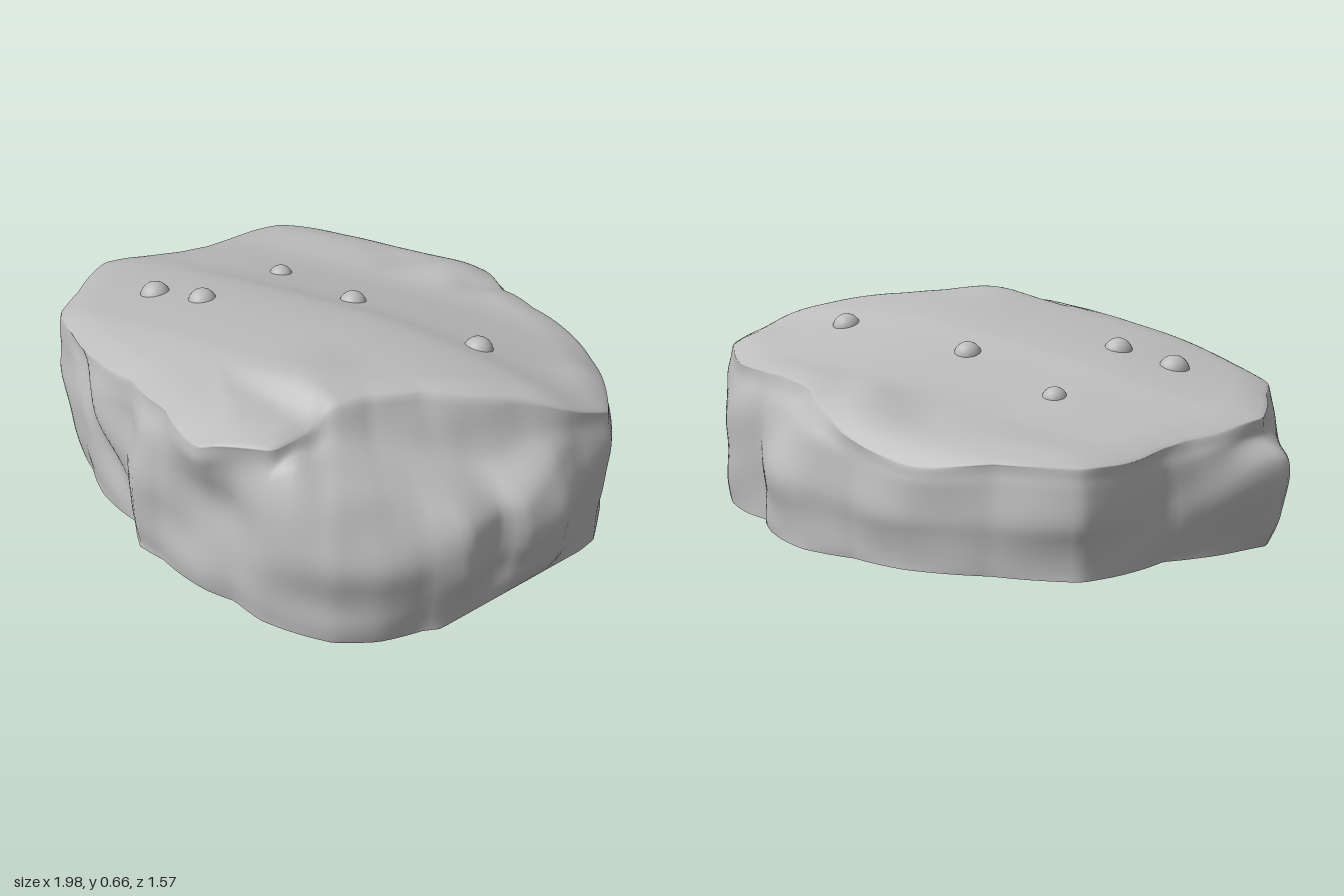
import * as THREE from 'three';

const { smoothstep, lerp, clamp } = THREE.MathUtils;
const COLS = 240;
const TAU = Math.PI * 2;

// Widest outline of the rock, as x, z pairs
const BELLY = [
  [-1, 0.06], [-0.95, -0.05], [-0.85, -0.2], [-0.78, -0.29], [-0.75, -0.5], [-0.7, -0.62],
  [-0.45, -0.71], [-0.2, -0.79], [0, -0.77], [0.2, -0.77], [0.42, -0.66], [0.55, -0.54],
  [0.65, -0.51], [0.8, -0.42], [0.93, -0.28], [0.98, -0.18], [0.97, -0.05], [1, 0.06],
  [0.96, 0.2], [0.9, 0.25], [0.9, 0.4], [0.82, 0.5], [0.75, 0.62], [0.65, 0.71], [0.42, 0.775],
  [0.3, 0.76], [0.2, 0.78], [0, 0.76], [-0.1, 0.76], [-0.2, 0.68], [-0.37, 0.65], [-0.5, 0.58],
  [-0.75, 0.44], [-0.8, 0.38], [-0.88, 0.25]
];
// Edge of the flat top
const RIM = [
  [-0.9, 0.06], [-0.86, -0.05], [-0.79, -0.2], [-0.76, -0.3], [-0.73, -0.5], [-0.68, -0.6],
  [-0.45, -0.69], [-0.2, -0.76], [0.05, -0.74], [0.2, -0.66], [0.3, -0.58], [0.45, -0.53],
  [0.7, -0.44], [0.85, -0.31], [0.96, -0.18], [0.9, -0.03], [0.8, 0.07], [0.6, 0.26],
  [0.5, 0.38], [0.43, 0.5], [0.41, 0.69], [0.2, 0.775], [0, 0.7], [-0.2, 0.63], [-0.4, 0.59],
  [-0.6, 0.5], [-0.74, 0.41], [-0.8, 0.28]
];

// Turns an outline into a function giving its radius at an angle
function radial(outline) {
  const pts = outline
    .map(([x, z]) => ({ a: (Math.atan2(z, x) + TAU) % TAU, r: Math.hypot(x, z) }))
    .sort((p, q) => p.a - q.a);
  const first = pts[0], last = pts[pts.length - 1];
  pts.unshift({ a: last.a - TAU, r: last.r });
  pts.push({ a: first.a + TAU, r: first.r });
  return (angle) => {
    let i = 1;
    while (pts[i].a < angle && i < pts.length - 1) i++;
    const p = pts[i - 1], q = pts[i];
    return lerp(p.r, q.r, (angle - p.a) / (q.a - p.a));
  };
}
const bellyRadius = radial(BELLY);
const rimRadius = radial(RIM);

// Smooth curve through a few values
function curve(at, values) {
  const cubic = new THREE.CubicInterpolant(at, values, 1, new Float32Array(1));
  return (t) => cubic.evaluate(clamp(t, at[0], at[at.length - 1]))[0];
}
const lengthwise = curve([-1, -0.75, -0.55, -0.35, 0, 0.3, 0.8, 1], [0.405, 0.44, 0.485, 0.535, 0.6, 0.64, 0.635, 0.59]);
const backDrop = curve([-0.8, -0.7, -0.6, -0.4, -0.2, -0.1, 0, 0.25, 1], [0.27, 0.2, 0.17, 0.15, 0.1, 0.07, 0.035, 0, 0]);

const blob = (x, z, cx, cz, w) => Math.exp(-((x - cx) ** 2 + (z - cz) ** 2) / (w * w));
const bell = (t, centre, w) => Math.exp(-(((t - centre) / w) ** 2));

// Height of the tilted top, with a step at the front and a lobe and hollow at the back
function topHeight(x, z) {
  let h = lengthwise(x) - backDrop(z) * (1 - 0.35 * smoothstep(-x, 0.2, 0.8));
  h -= 0.04 * smoothstep(z, 0.4, 0.72) * (1 - smoothstep(x, 0.2, 0.42));
  h += 0.015 * blob(x, z, 0.3, 0.42, 0.12);
  h = lerp(h, Math.min(h, 0.605), smoothstep(z, 0.46, 0.55));
  h -= 0.03 * blob(x, z, 0.18, 0.8, 0.12);
  h += 0.02 * blob(x, z, 0.85, -0.28, 0.1);
  h += 0.012 * blob(x, z, 0.08, -0.58, 0.1);
  h -= 0.02 * blob(x, z, 0.22, -0.56, 0.08);
  h -= 0.015 * blob(x, z, -0.12, -0.58, 0.1);
  return h;
}

// Soft layers on the sides, and a slanting crevice in the front
const roughness = (a, y) =>
  0.006 * Math.sin(26 * y + 4 * Math.sin(2 * a)) * Math.sin(5 * a + 4 * y)
  + 0.006 * Math.sin(11 * a + 9 * y)
  - 0.025 * bell(a, 1.78 + 1.3 * y, 0.09);

// Joins rings of points, running from outside bottom to top, into one surface
function loft(rings) {
  const pos = rings.flat(2), index = [];
  for (let i = 0; i < rings.length - 1; i++) {
    for (let j = 0; j < COLS; j++) {
      const k = (j + 1) % COLS;
      const a = i * COLS + j, b = i * COLS + k, c = a + COLS, d = b + COLS;
      index.push(a, c, b, b, c, d);
    }
  }
  const geo = new THREE.BufferGeometry();
  geo.setAttribute('position', new THREE.Float32BufferAttribute(pos, 3));
  geo.setIndex(index);
  geo.computeVertexNormals();
  return geo;
}

export function createModel() {
  const group = new THREE.Group();
  group.name = 'rock';
  const stone = new THREE.MeshStandardMaterial({ color: 0xbcbcbc });
  stone.name = 'grey stone';
  const add = (name, geo) => {
    const mesh = new THREE.Mesh(geo, stone);
    mesh.name = name;
    group.add(mesh);
    return mesh;
  };

  const SIDE = 36, TOP = 56, ROUNDING = 0.018;
  const rings = Array.from({ length: SIDE + TOP + 1 }, () => []);
  const bottom = [[], []];

  for (let j = 0; j < COLS; j++) {
    const a = (j / COLS) * TAU, deg = (a * 180) / Math.PI;
    const turn = deg > 180 ? deg - 360 : deg;
    const c = Math.cos(a), s = Math.sin(a);
    const belly = bellyRadius(a), rim = rimRadius(a);
    const rimY = topHeight(rim * c, rim * s) - ROUNDING;

    // Shelf that falls away across the front left corner
    const ledge = smoothstep(turn, -8, 14) * (1 - smoothstep(turn, 54, 62));
    const climb = clamp((turn - 18) / 40, 0, 1);
    const ledgeY = lerp(0.34, 0.56, climb), ledgeOut = lerp(0.92, 0.45, climb);
    // Blunt, undercut tip on the right, waist at the front, straight foot on the left
    const tip = bell(deg, 177, 12);
    const waist = 0.04 * bell(deg, 76, 14);
    let base = belly * (0.975 - 0.025 * bell(deg, 148, 14)) - 0.05 * tip;
    if (c > 0.5) base = Math.min(base, 0.93 / (c + 0.215 * s));
    const bellyY = lerp(lerp(0.5 * rimY, 0.62 * ledgeY, ledge), 0.27, tip);
    const shoulderY = lerp(lerp(0.8 * rimY, ledgeY, ledge), 0.33, tip);
    const shoulderOut = lerp(lerp(0.5, ledgeOut, ledge), 0.12, tip);
    const side = new THREE.CatmullRomCurve3([
      new THREE.Vector3(base, 0, 0),
      new THREE.Vector3(lerp(belly * 0.985, base, 0.3), 0.1, 0),
      new THREE.Vector3(belly * 0.99 - waist, bellyY, 0),
      new THREE.Vector3(lerp(rim, belly, shoulderOut) - waist * 0.5, shoulderY, 0),
      new THREE.Vector3(lerp(rim, belly, shoulderOut * 0.3), lerp(shoulderY, rimY, lerp(0.6, 0.4, ledge)), 0),
      new THREE.Vector3(rim, rimY, 0)
    ]);

    // Side wall
    for (let i = 0; i <= SIDE; i++) {
      const t = i / SIDE;
      const p = side.getPoint(t);
      const r = p.x + roughness(a, p.y) * Math.sqrt(Math.max(0, Math.sin(Math.PI * t)));
      rings[i].push([r * c, p.y, r * s]);
    }
    // Top, rounded over at the rim
    for (let i = 1; i <= TOP; i++) {
      const u = 1 - i / TOP;
      const x = u * rim * c, z = u * rim * s;
      const round = Math.max(0, (u - 0.86) / 0.14) ** 2;
      rings[SIDE + i].push([x, topHeight(x, z) - ROUNDING * round, z]);
    }
    bottom[0].push([0, 0, 0]);
    bottom[1].push([base * c, 0, base * s]);
  }
  add('rockBody', loft(rings));
  add('rockUnderside', loft(bottom));

  // Pebbles set into the top
  const pebbles = [
    [-0.52, 0.2, 0.05], [-0.33, 0.18, 0.047], [-0.34, -0.21, 0.04],
    [0.04, -0.12, 0.045], [0.54, -0.1, 0.047]
  ];
  for (const [x, z, r] of pebbles) {
    const pebble = add('pebble', new THREE.SphereGeometry(r, 20, 14));
    pebble.position.set(x, topHeight(x, z) - 0.016, z);
  }
  return group;
}
